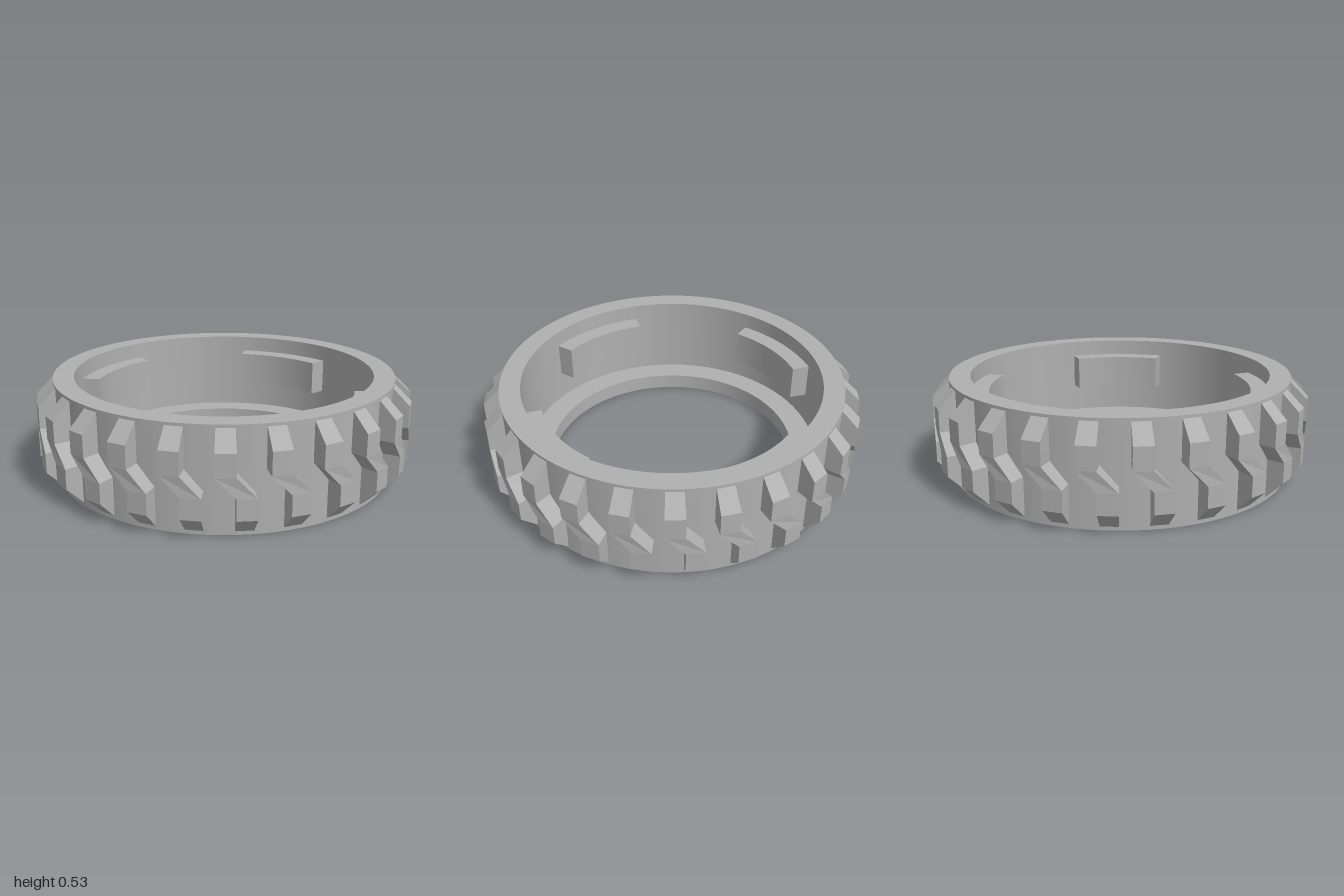
import * as THREE from 'three';
import { toCreasedNormals } from 'three/addons/utils/BufferGeometryUtils.js';

const LUG_COUNT = 25;

// Hollow ring with an inner lip at the base
function ringGeometry() {
  const profile = [
    [0.67, 0], [0.91, 0], [0.91, 0.53], [0.8, 0.53], [0.8, 0.088], [0.67, 0.088], [0.67, 0],
  ].map(([r, y]) => new THREE.Vector2(r, y));
  return toCreasedNormals(new THREE.LatheGeometry(profile, 96), 0.6);
}

// Stepped tread lug: four-cornered cross-sections stacked from bottom to top
function lugGeometry() {
  const half = 0.048;
  // height, outer radius, centre angle
  const rows = [
    [0.02, 0.912, -half], [0.11, 1, -half], [0.215, 1, -half],
    [0.315, 1, half], [0.43, 1, half], [0.515, 0.912, half],
  ];
  const positions = [];
  for (const [y, r, angle] of rows) {
    const corners = [[0.9, -half], [r, -half], [r, half], [0.9, half]];
    for (const [radius, d] of corners) {
      positions.push(radius * Math.cos(angle + d), y, radius * Math.sin(angle + d));
    }
  }
  const index = [0, 1, 2, 0, 2, 3];
  for (let i = 0; i < rows.length - 1; i++) {
    for (let j = 0; j < 4; j++) {
      const a = i * 4 + j;
      const b = i * 4 + ((j + 1) % 4);
      index.push(a, a + 4, b + 4, a, b + 4, b);
    }
  }
  const t = (rows.length - 1) * 4;
  index.push(t, t + 2, t + 1, t, t + 3, t + 2);

  const indexed = new THREE.BufferGeometry();
  indexed.setAttribute('position', new THREE.Float32BufferAttribute(positions, 3));
  indexed.setIndex(index);
  const geometry = indexed.toNonIndexed();
  geometry.computeVertexNormals();
  return geometry;
}

// Curved tab on the inner wall
function tabGeometry() {
  const half = THREE.MathUtils.degToRad(20);
  const shape = new THREE.Shape();
  shape.absarc(0, 0, 0.803, -half, half, false);
  shape.absarc(0, 0, 0.705, half, -half, true);
  shape.closePath();
  const geometry = new THREE.ExtrudeGeometry(shape, { depth: 0.19, bevelEnabled: false, curveSegments: 14 });
  geometry.rotateX(-Math.PI / 2).translate(0, 0.252, 0);
  return toCreasedNormals(geometry, 0.6);
}

export function createModel() {
  const rubber = new THREE.MeshStandardMaterial({ color: 0xb0b0b0 });
  rubber.name = 'greyRubber';

  const model = new THREE.Group();
  model.name = 'tyre';

  // Copies of one part spaced evenly around the axis
  const addAround = (name, geometry, count) => {
    const group = new THREE.Group();
    group.name = name + 's';
    for (let i = 0; i < count; i++) {
      const mesh = new THREE.Mesh(geometry, rubber);
      mesh.name = name;
      mesh.rotation.y = (-i * Math.PI * 2) / count;
      group.add(mesh);
    }
    model.add(group);
  };

  const ring = new THREE.Mesh(ringGeometry(), rubber);
  ring.name = 'ring';
  model.add(ring);

  addAround('treadLug', lugGeometry(), LUG_COUNT);
  addAround('innerTab', tabGeometry(), 4);

  return model;
}
